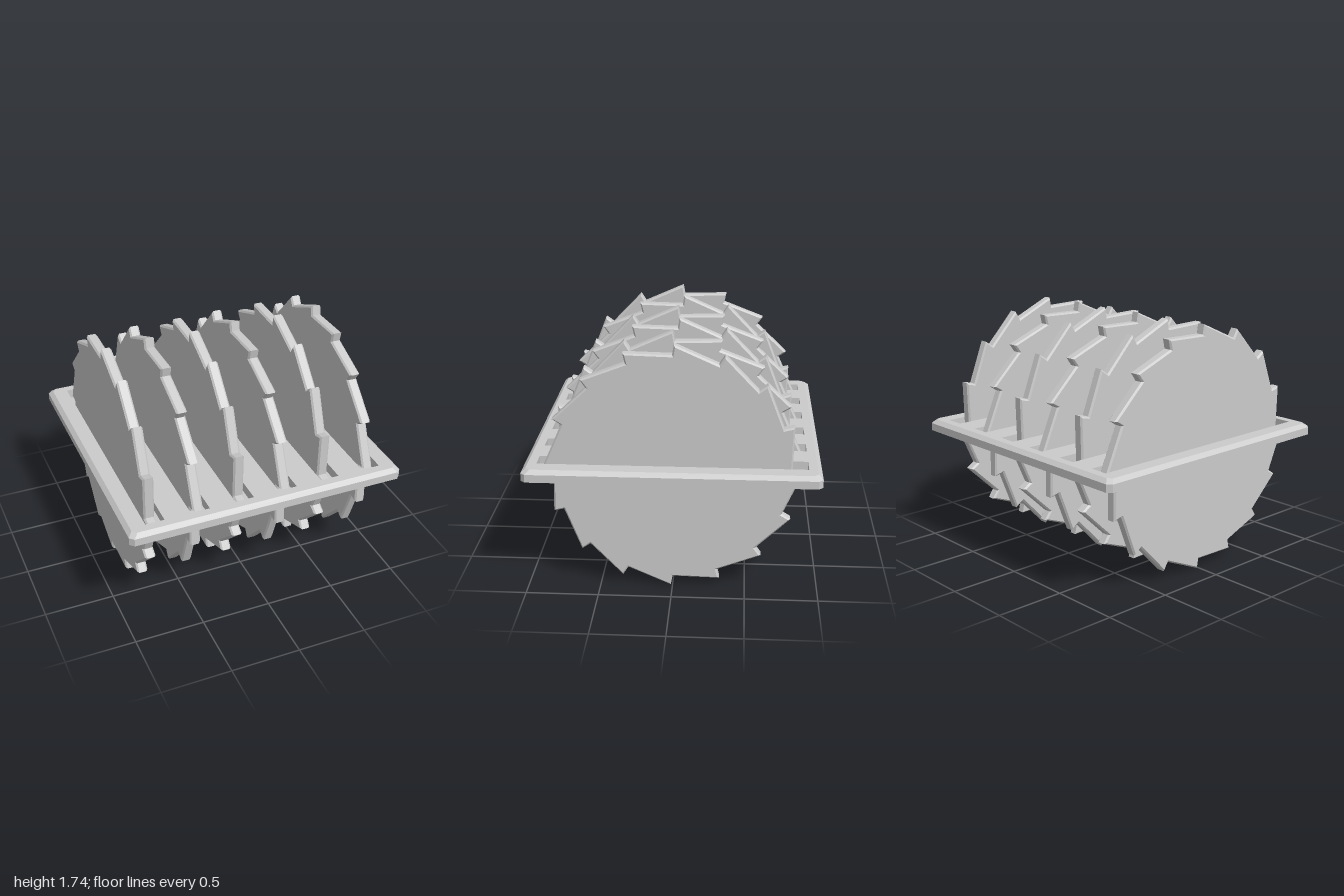
import * as THREE from 'three';

const grey = new THREE.MeshStandardMaterial({ color: 0xcccccc, flatShading: true, side: THREE.DoubleSide });
const BLADE_X = [-0.8, -0.48, -0.16, 0.16, 0.48, 0.8];
const SLOT_W = 0.0675, SLOT_L = 0.91; // half sizes of a slot

function part(name, geometry, parent) {
  const mesh = new THREE.Mesh(geometry, grey);
  mesh.name = name;
  parent.add(mesh);
  return mesh;
}

// Square outline with slightly cut corners
function outline(h, c = 0.03) {
  return [[h, -h + c], [h, h - c], [h - c, h], [-h + c, h],
    [-h, h - c], [-h, -h + c], [-h + c, -h], [h - c, -h]].map(([x, y]) => new THREE.Vector2(x, y));
}

function rect(cx, w, l) {
  return [[-w, -l], [w, -l], [w, l], [-w, l]].map(([x, y]) => new THREE.Vector2(cx + x, y));
}

// Horizontal slab with holes, from height y0 to y1
function slab(points, holes, y0, y1) {
  const shape = new THREE.Shape(points);
  shape.holes = holes.map((h) => new THREE.Path(h));
  const g = new THREE.ExtrudeGeometry(shape, { depth: y1 - y0, bevelEnabled: false });
  return g.rotateX(-Math.PI / 2).translate(0, y0, 0);
}

// Rim: a [half size, height] profile carried round the plate outline
function rimGeometry() {
  const profile = [[0.95, 0.895], [0.95, 0.83], [1, 0.83], [1, 0.885], [0.97, 0.912]];
  const position = [], index = [];
  for (const [h, y] of profile) for (const p of outline(h)) position.push(p.x, y, -p.y);
  for (let i = 0; i < profile.length - 1; i++) {
    for (let j = 0; j < 8; j++) {
      const a = i * 8 + j, b = i * 8 + (j + 1) % 8;
      index.push(a, b, b + 8, a, b + 8, a + 8);
    }
  }
  const g = new THREE.BufferGeometry();
  g.setAttribute('position', new THREE.Float32BufferAttribute(position, 3));
  g.setIndex(index);
  g.computeVertexNormals();
  return g;
}

// Toothed disc in the y-z plane; dir sets which way the teeth lean
function bladeGeometry(dir) {
  const teeth = 16, points = [], bevel = 0.012, thickness = 0.076;
  const at = (r, a) => points.push(new THREE.Vector2(dir * r * Math.sin(a), r * Math.cos(a)));
  for (let i = 0; i < teeth; i++) {
    const a = (i / teeth) * Math.PI * 2;
    at(0.803, a);
    at(0.872, a + 0.014);
  }
  const depth = thickness - 2 * bevel;
  const g = new THREE.ExtrudeGeometry(new THREE.Shape(points), {
    depth, bevelSize: bevel, bevelThickness: bevel, bevelOffset: -bevel, bevelSegments: 1,
  });
  return g.translate(0, 0, -depth / 2).rotateY(-Math.PI / 2);
}

export function createModel() {
  const model = new THREE.Group();
  model.name = 'bladeRack';

  // Plate: bevelled rim, slotted deck and a shallow tray under each slot
  const plate = new THREE.Group();
  plate.name = 'plate';
  model.add(plate);
  part('rim', rimGeometry(), plate);
  part('deck', slab(outline(0.97), BLADE_X.map((x) => rect(x, SLOT_W, SLOT_L)), 0.895, 0.912), plate);
  for (const x of BLADE_X) {
    const outer = rect(x, SLOT_W + 0.01, SLOT_L + 0.01);
    part('slotWall', slab(outer, [rect(x, SLOT_W, SLOT_L)], 0.84, 0.9), plate);
    part('slotFloor', slab(outer, [], 0.832, 0.842), plate);
  }

  // Blades, with teeth leaning in alternate directions
  const blades = [bladeGeometry(1), bladeGeometry(-1)];
  BLADE_X.forEach((x, i) => part('sawBlade', blades[i % 2], model).position.set(x, 0.872, 0));

  return model;
}
